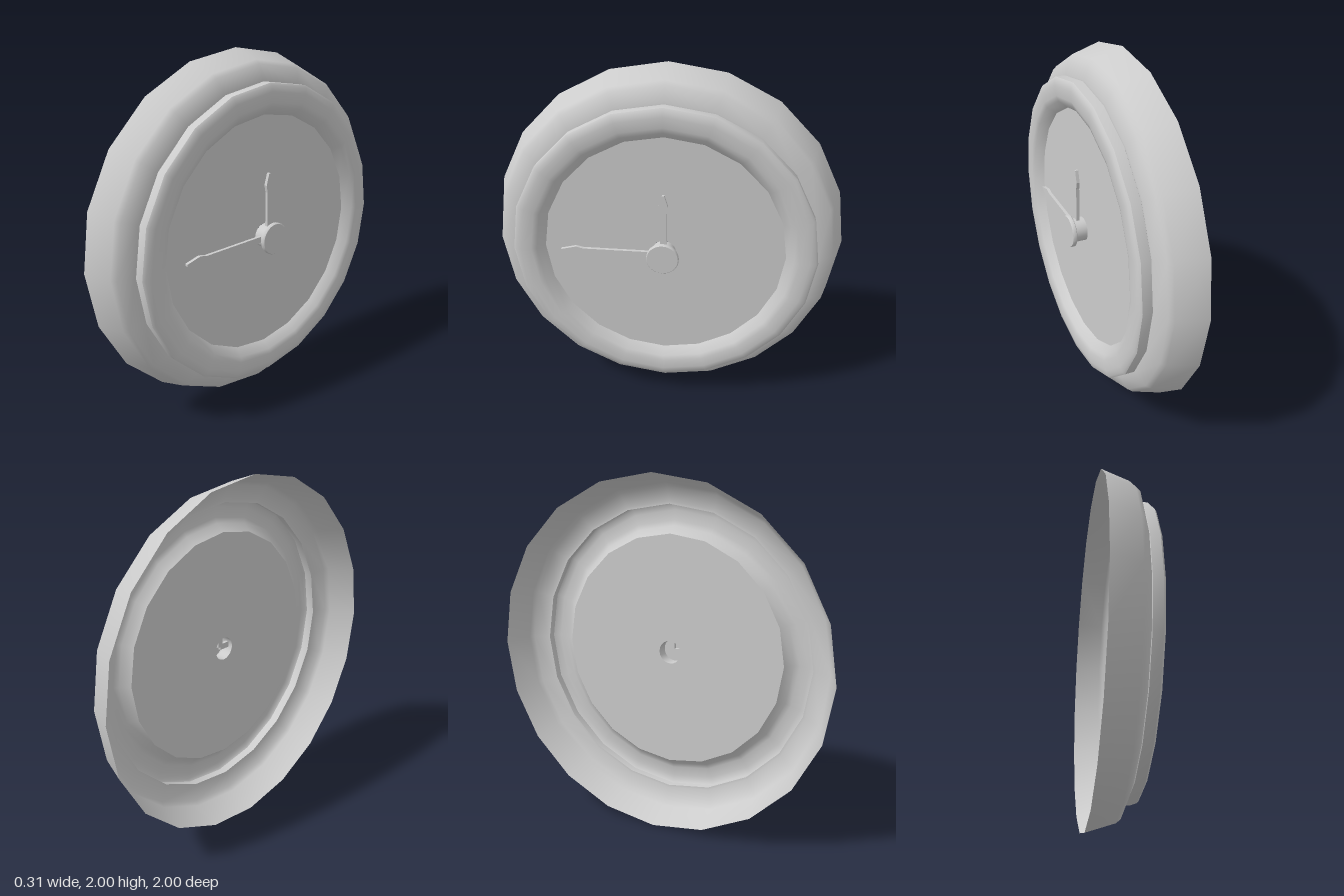
import * as THREE from 'three';
import { toCreasedNormals } from 'three/addons/utils/BufferGeometryUtils.js';

const material = new THREE.MeshStandardMaterial({ color: 0xcccccc, side: THREE.DoubleSide });

// Revolve a profile of [x, radius] pairs about the x axis.
function revolve(name, profile, sides, crease = 0.7) {
  const points = profile.map(([x, r]) => new THREE.Vector2(r, x));
  const geometry = new THREE.LatheGeometry(points, sides);
  geometry.rotateZ(-Math.PI / 2);
  const mesh = new THREE.Mesh(toCreasedNormals(geometry, crease), material);
  mesh.name = name;
  return mesh;
}

// Thin spear-shaped hand pointing up, turned about the x axis.
function hand(name, length, shoulder, halfWidth, tipHalf, angle) {
  const shape = new THREE.Shape([
    [-halfWidth, 0], [halfWidth, 0], [halfWidth, shoulder - 0.04], [tipHalf, shoulder],
    [0.006, length], [-0.006, length], [-tipHalf, shoulder], [-halfWidth, shoulder - 0.04],
  ].map(([x, y]) => new THREE.Vector2(x, y)));
  const geometry = new THREE.ExtrudeGeometry(shape, { depth: 0.018, bevelEnabled: false });
  geometry.rotateY(Math.PI / 2);
  geometry.translate(0.092, 0, 0);
  geometry.rotateX(angle);
  const mesh = new THREE.Mesh(geometry, material);
  mesh.name = name;
  return mesh;
}

export function createModel() {
  const clock = new THREE.Group();
  clock.name = 'wallClock';

  // Open-backed outer shell
  clock.add(revolve('caseShell', [
    [-0.157, 1], [0, 0.95], [0.025, 0.93], [0.053, 0.85], [0.053, 0.835],
  ], 20, 0.9));

  // Rounded rim around the dial
  clock.add(revolve('dialRim', [
    [0.053, 0.835], [0.058, 0.845], [0.11, 0.845], [0.12, 0.832], [0.124, 0.8],
    [0.122, 0.745], [0.112, 0.715], [0.064, 0.675],
  ], 20, 0.9));

  // Flat dial with a hole for the hollow stem
  clock.add(revolve('dial', [[0.064, 0.675], [0.064, 0.067]], 20));

  // Stem and cap holding the hands
  clock.add(revolve('hub', [
    [0.064, 0.067], [0.132, 0.067], [0.132, 0.085], [0.136, 0.09],
    [0.152, 0.09], [0.157, 0.086], [0.157, 0],
  ], 32));

  // Hands: hour points up, minute points to +z
  clock.add(hand('hourHand', 0.365, 0.3, 0.017, 0.025, 0));
  clock.add(hand('minuteHand', 0.575, 0.49, 0.017, 0.027, Math.PI / 2));

  clock.position.y = 1;
  const model = new THREE.Group();
  model.add(clock);
  return model;
}
